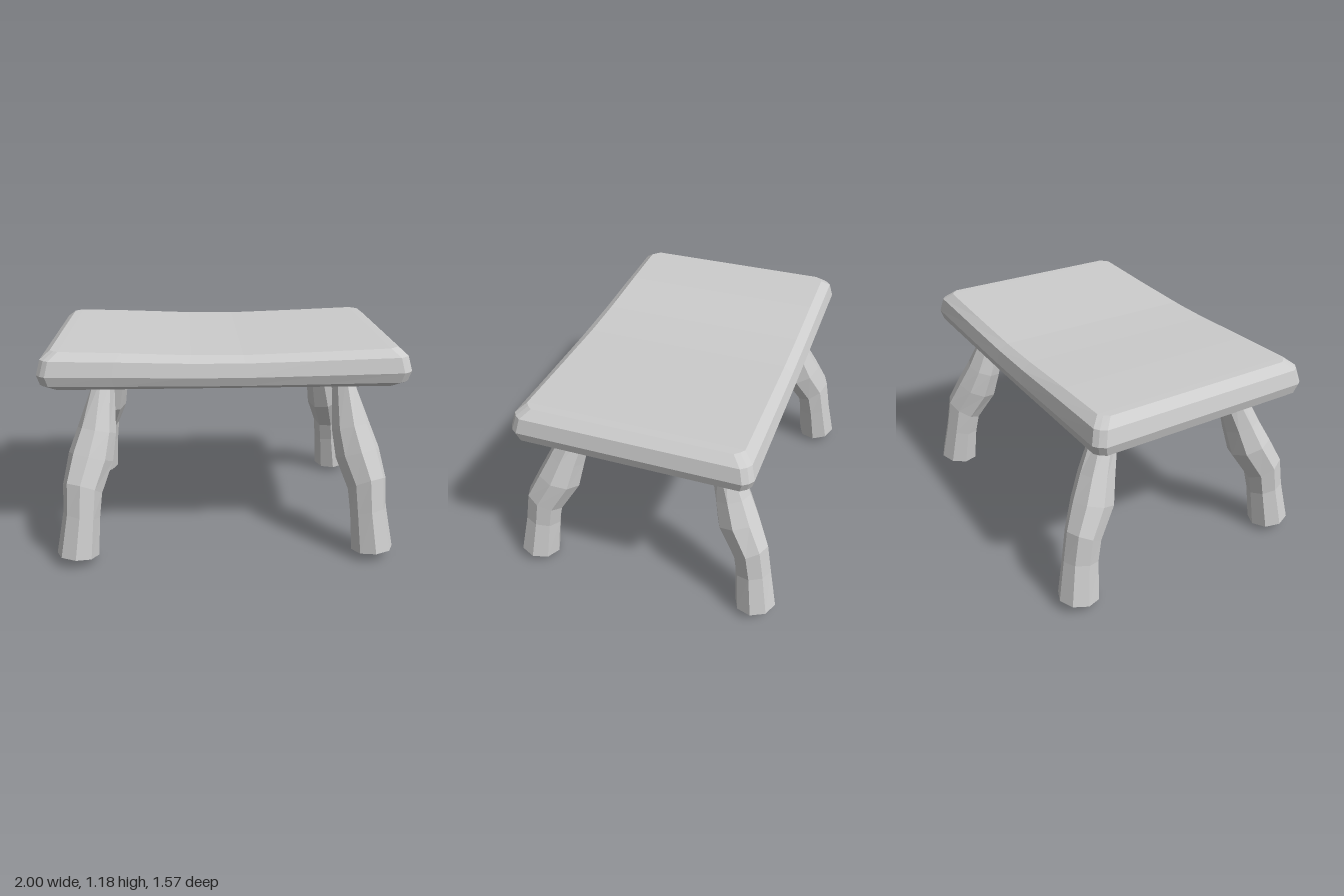
import * as THREE from 'three';

const stone = new THREE.MeshStandardMaterial({ color: 0xcccccc, flatShading: true });
stone.name = 'light grey';

// Thick top with bevelled rim and a slight sag across the middle
function makeTop() {
  const xs = [-1, -0.95, -0.6, -0.2, 0.1, 0.5, 0.95, 1];
  const zs = [-0.65, -0.6, 0, 0.6, 0.65];
  const ys = [0.975, 1.005, 1.06, 1.14, 1.18];
  const inset = [0.06, 0.015, 0, 0.02, 0.07];
  const sag = [0, 0, 0.01, 0.025, 0.028, 0.016, 0, 0];
  const geo = new THREE.BoxGeometry(1, 1, 1, 7, 4, 4);
  const p = geo.attributes.position;
  for (let n = 0; n < p.count; n++) {
    const i = Math.round((p.getX(n) + 0.5) * 7);
    const j = Math.round((p.getY(n) + 0.5) * 4);
    const k = Math.round((p.getZ(n) + 0.5) * 4);
    const corner = (i === 0 || i === 7) && (k === 0 || k === 4) ? 0.022 : 0;
    p.setXYZ(n,
      xs[i] * (1 - inset[j] - corner),
      ys[j] - sag[i] * j / 4,
      zs[k] * (1 - inset[j] / 0.65 - corner * 1.3));
  }
  geo.computeVertexNormals();
  const mesh = new THREE.Mesh(geo, stone);
  mesh.name = 'tableTop';
  return mesh;
}

// Front leg, crossbeam and back leg as one octagonal loft
function makeLegPair() {
  // inner z, inner y, outer z, outer y, inner x, outer x, sideways tilt
  const leg = [
    [0.555, 0.03, 0.785, 0.06, 0.712, 0.942, 0.01],
    [0.54, 0.25, 0.74, 0.29, 0.70, 0.90, 0.02],
    [0.52, 0.36, 0.71, 0.47, 0.685, 0.895, 0.03],
    [0.415, 0.53, 0.645, 0.61, 0.625, 0.865, 0.03],
    [0.385, 0.68, 0.58, 0.74, 0.605, 0.815, 0.02],
    [0.345, 0.86, 0.46, 1.0, 0.61, 0.74, 0],
  ];
  const rings = [
    ...leg.map(r => ({ r, side: 1 })),
    ...leg.slice().reverse().map(r => ({ r, side: -1 })),
  ];
  const sides = 8, pos = [], idx = [];
  for (const { r: [zi, yi, zo, yo, xi, xo, tilt], side } of rings) {
    for (let k = 0; k < sides; k++) {
      const a = k / sides * Math.PI * 2, c = Math.cos(a), s = Math.sin(a);
      pos.push(
        (xi + xo) / 2 + s * (xo - xi) / 2,
        (yi + yo) / 2 + c * (yo - yi) / 2 + s * tilt,
        side * ((zi + zo) / 2 + c * (zo - zi) / 2));
    }
  }
  const last = (rings.length - 1) * sides, tip = rings.length * sides;
  pos.push(0.825, 0, 0.67, 0.825, 0, -0.67);
  for (let k = 0; k < sides; k++) {
    const n = (k + 1) % sides;
    for (let i = 0; i < last; i += sides) {
      idx.push(i + k, i + n, i + sides + n, i + k, i + sides + n, i + sides + k);
    }
    // pointed soles
    idx.push(tip, n, k, tip + 1, last + k, last + n);
  }
  const geo = new THREE.BufferGeometry();
  geo.setAttribute('position', new THREE.Float32BufferAttribute(pos, 3));
  geo.setIndex(idx);
  geo.computeVertexNormals();
  return geo;
}

export function createModel() {
  const model = new THREE.Group();
  model.name = 'table';
  model.add(makeTop());
  const geo = makeLegPair();
  ['leftLegPair', 'rightLegPair'].forEach((name, i) => {
    const legs = new THREE.Mesh(geo, stone);
    legs.name = name;
    legs.rotation.y = i * Math.PI;
    model.add(legs);
  });
  return model;
}
